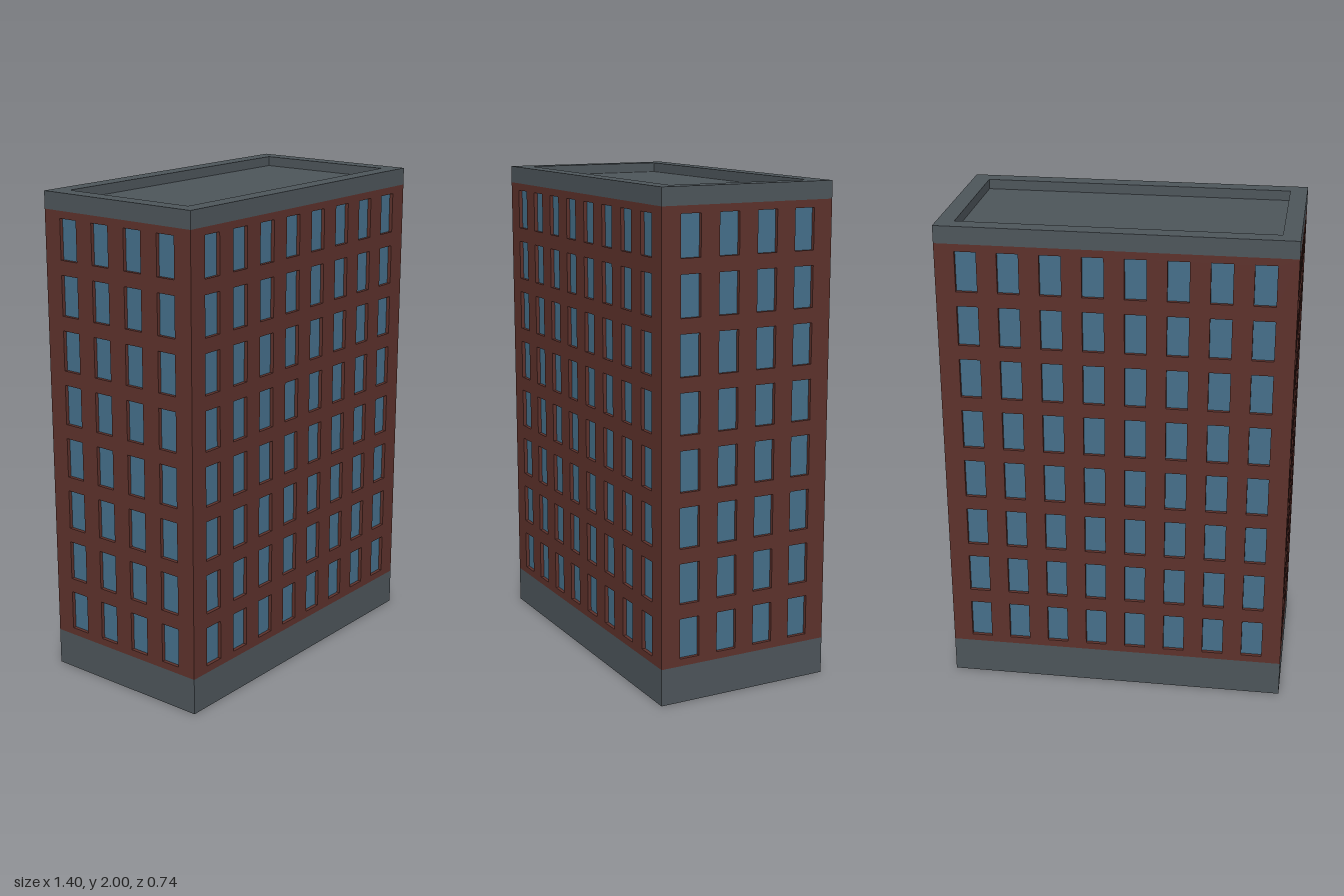
import * as THREE from 'three';
import { mergeGeometries } from 'three/addons/utils/BufferGeometryUtils.js';

const W = 1.4, D = 0.74, BASE = 0.15, EAVES = 1.93, TOP = 2;
const ROWS = 8, PITCH = 0.165, WIN_W = 0.085, WIN_H = 0.163, RECESS = 0.015;
const RIM = 0.07, ROOF_Y = 1.96;

const material = (color) => new THREE.MeshStandardMaterial({ color, side: THREE.DoubleSide });

function add(parent, name, geometry, mat) {
  const mesh = new THREE.Mesh(geometry, mat);
  mesh.name = name;
  parent.add(mesh);
  return mesh;
}

// Box with one opposite pair of faces left out ('y' or 'z')
function openBox(w, h, d, openAxis) {
  const g = new THREE.BoxGeometry(w, h, d);
  const i = Array.from(g.index.array);
  g.setIndex(openAxis === 'z' ? i.slice(0, 24) : [...i.slice(0, 12), ...i.slice(24)]);
  g.clearGroups();
  return g;
}

function band(w, d, y0, y1) {
  return openBox(w, y1 - y0, d, 'y').translate(0, (y0 + y1) / 2, 0);
}

function rectPoints(path, x, y, w, h) {
  path.moveTo(x - w / 2, y - h / 2);
  path.lineTo(x + w / 2, y - h / 2);
  path.lineTo(x + w / 2, y + h / 2);
  path.lineTo(x - w / 2, y + h / 2);
  path.closePath();
  return path;
}

// One wall sheet with a grid of recessed windows, facing +z at z = 0
function facade(name, width, columns, brick, glass) {
  const group = new THREE.Group();
  group.name = name;
  const wall = rectPoints(new THREE.Shape(), 0, (BASE + EAVES) / 2, width, EAVES - BASE);
  const reveals = [], panes = [];
  const storey = (EAVES - BASE) / ROWS;
  for (let r = 0; r < ROWS; r++) {
    for (let c = 0; c < columns; c++) {
      const x = (c - (columns - 1) / 2) * PITCH;
      const y = BASE + (r + 0.5) * storey;
      wall.holes.push(rectPoints(new THREE.Path(), x, y, WIN_W, WIN_H));
      reveals.push(openBox(WIN_W, WIN_H, RECESS, 'z').translate(x, y, -RECESS / 2));
      panes.push(new THREE.PlaneGeometry(WIN_W, WIN_H).translate(x, y, -RECESS));
    }
  }
  add(group, 'brickWall', new THREE.ShapeGeometry(wall), brick);
  add(group, 'windowReveals', mergeGeometries(reveals), brick);
  add(group, 'windowPanes', mergeGeometries(panes), glass);
  return group;
}

export function createModel() {
  const model = new THREE.Group();
  model.name = 'apartmentBlock';
  const brick = material(0x5d312b), glass = material(0x456f8a), concrete = material(0x4d555a);

  // Four facades turned around the block
  ['front', 'left', 'back', 'right'].forEach((side, i) => {
    const long = i % 2 === 0;
    const f = facade(side + 'Facade', long ? W : D, long ? 8 : 4, brick, glass);
    const angle = i * Math.PI / 2, dist = (long ? D : W) / 2;
    f.rotation.y = angle;
    f.position.set(Math.sin(angle) * dist, 0, Math.cos(angle) * dist);
    model.add(f);
  });

  // Open-bottomed plinth
  add(model, 'plinth', band(W, D, 0, BASE), concrete);

  // Parapet with flat rim and sunken roof
  const innerW = W - 2 * RIM, innerD = D - 2 * RIM;
  add(model, 'parapetOuter', band(W, D, EAVES, TOP), concrete);
  add(model, 'parapetInner', band(innerW, innerD, ROOF_Y, TOP), concrete);
  const rim = rectPoints(new THREE.Shape(), 0, 0, W, D);
  rim.holes.push(rectPoints(new THREE.Path(), 0, 0, innerW, innerD));
  add(model, 'parapetRim', new THREE.ShapeGeometry(rim).rotateX(-Math.PI / 2).translate(0, TOP, 0), concrete);
  add(model, 'roof', new THREE.PlaneGeometry(innerW, innerD).rotateX(-Math.PI / 2).translate(0, ROOF_Y, 0), concrete);

  return model;
}
